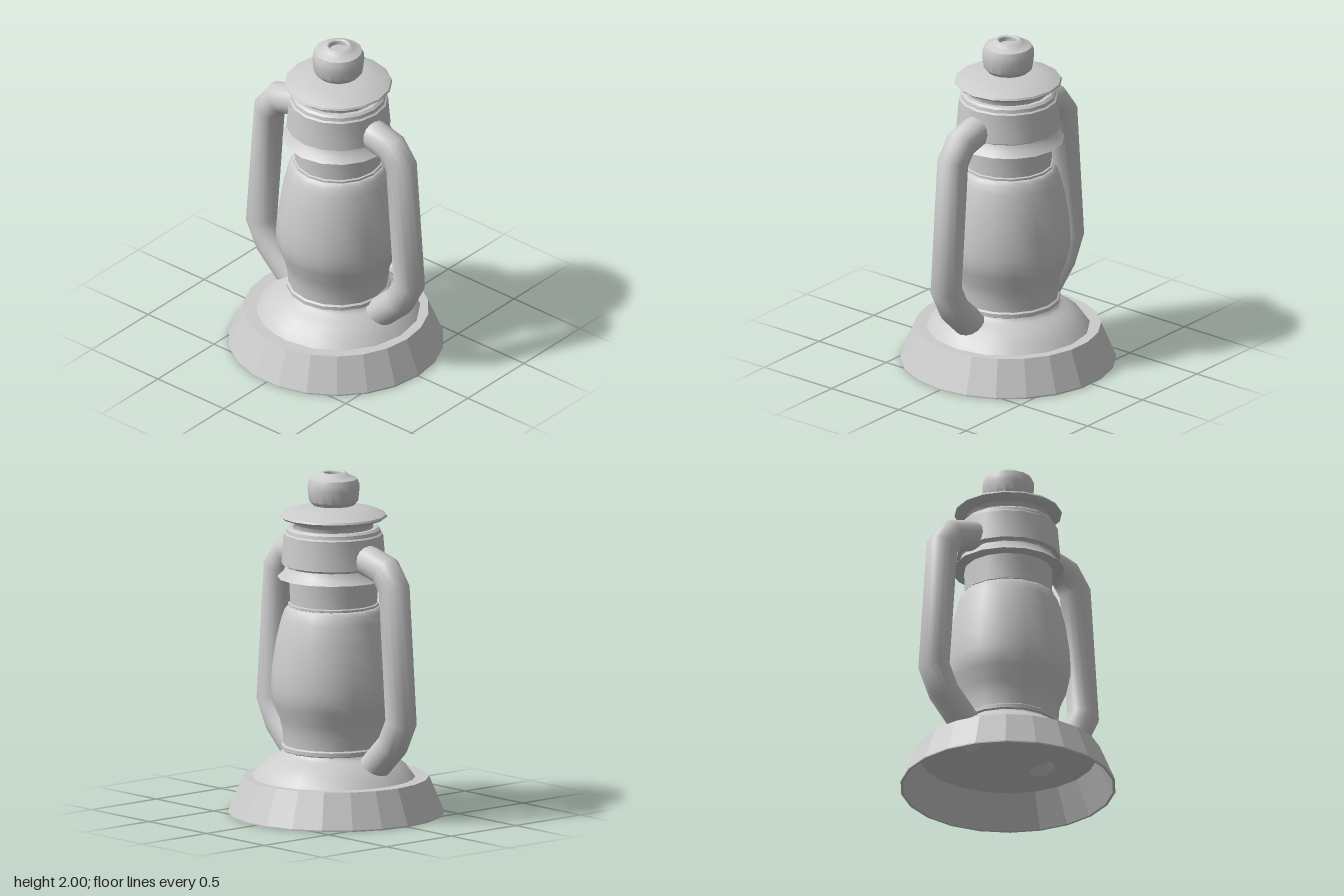
import * as THREE from 'three';
import { toCreasedNormals } from 'three/addons/utils/BufferGeometryUtils.js';

const material = new THREE.MeshStandardMaterial({ color: 0xcccccc, side: THREE.DoubleSide });
const flatMaterial = new THREE.MeshStandardMaterial({ color: 0xcccccc, side: THREE.DoubleSide, flatShading: true });

// Turned part from [radius, height] pairs, listed from bottom to top
function turned(name, profile, sides = 16, mat = material) {
  const lathe = new THREE.LatheGeometry(profile.map(([r, y]) => new THREE.Vector2(r, y)), sides);
  const mesh = new THREE.Mesh(toCreasedNormals(lathe, 0.62), mat);
  mesh.name = name;
  return mesh;
}

// Round pipe with mitred bends along [z, y] points, closed at both ends
function pipe(path, radius, sides) {
  const pts = path.map(([z, y]) => new THREE.Vector2(z, y));
  const last = pts.length - 1;
  const pos = [];
  const index = [];
  pts.forEach((p, i) => {
    const before = pts[Math.max(i, 1)].clone().sub(pts[Math.max(i, 1) - 1]).normalize();
    const next = Math.min(i, last - 1);
    const after = pts[next + 1].clone().sub(pts[next]).normalize();
    const dir = before.clone().add(after).normalize();
    const stretch = radius / dir.dot(after);
    for (let k = 0; k < sides; k++) {
      const a = (k / sides) * Math.PI * 2;
      const s = Math.sin(a) * stretch;
      pos.push(Math.cos(a) * radius, p.y + dir.x * s, p.x - dir.y * s);
      if (i < last) {
        const b = i * sides + k;
        const c = i * sides + ((k + 1) % sides);
        index.push(b, c, b + sides, c, c + sides, b + sides);
      }
    }
  });
  for (let k = 1; k < sides - 1; k++) {
    index.push(0, k + 1, k);
    index.push(last * sides, last * sides + k, last * sides + k + 1);
  }
  const geo = new THREE.BufferGeometry();
  geo.setAttribute('position', new THREE.Float32BufferAttribute(pos, 3));
  geo.setIndex(index);
  return toCreasedNormals(geo, 0.9);
}

export function createModel() {
  const lantern = new THREE.Group();
  lantern.name = 'lantern';

  // Flared foot, hollow underneath up to a flat floor
  lantern.add(turned('base', [
    [0, 0.2], [0.515, 0.2], [0.61, 0], [0.625, 0], [0.625, 0.008], [0.538, 0.215], [0.46, 0.215],
  ], 22, flatMaterial));

  // Upright body, turned about one shared axis
  const body = new THREE.Group();
  body.name = 'body';
  body.position.set(0.01, 0, 0.01);
  body.add(
    turned('tankDome', [
      [0.478, 0.21], [0.44, 0.26], [0.39, 0.302], [0.345, 0.333], [0.31, 0.35], [0.298, 0.36], [0.29, 0.372],
    ]),
    turned('lowerRing', [[0.288, 0.37], [0.302, 0.378], [0.302, 0.4], [0.288, 0.41]]),
    turned('glass', [
      [0.29, 0.4], [0.296, 0.48], [0.312, 0.555], [0.348, 0.64], [0.36, 0.7], [0.362, 0.76], [0.355, 0.865],
      [0.332, 1.02], [0.302, 1.14], [0.285, 1.19], [0.27, 1.212], [0.25, 1.22],
    ]),
    turned('upperRing', [[0.25, 1.215], [0.263, 1.22], [0.263, 1.232], [0.25, 1.237]]),
    turned('neck', [[0.252, 1.22], [0.256, 1.385]]),
    turned('collar', [
      [0.25, 1.38], [0.325, 1.385], [0.29, 1.42], [0.275, 1.45], [0.28, 1.458], [0.302, 1.465],
      [0.287, 1.64], [0.276, 1.648], [0.272, 1.668], [0.258, 1.68], [0.235, 1.68],
    ]),
    turned('ventNeck', [[0.225, 1.67], [0.23, 1.7], [0.25, 1.722]]),
    turned('cap', [
      [0.2, 1.715], [0.255, 1.72], [0.295, 1.73], [0.312, 1.743], [0.306, 1.754],
      [0.26, 1.775], [0.19, 1.793], [0.1, 1.806], [0, 1.806],
    ]),
    turned('knob', [
      [0.09, 1.806], [0.122, 1.81], [0.142, 1.833], [0.15, 1.9], [0.149, 1.935], [0.138, 1.963],
      [0.11, 1.975], [0.09, 1.985], [0.075, 1.998], [0.064, 2], [0.055, 1.994], [0.053, 1.97], [0, 1.97],
    ]),
  );
  lantern.add(body);

  // Bent side pipes running from the collar down through the tank
  const pipeGeometry = pipe([
    [0.2, 1.522], [0.3, 1.51], [0.425, 1.477], [0.5, 1.38], [0.56, 0.605], [0.488, 0.463], [0.337, 0.32], [0.21, 0.215],
  ], 0.09, 16);
  ['frontPipe', 'backPipe'].forEach((name, i) => {
    const mesh = new THREE.Mesh(pipeGeometry, material);
    mesh.name = name;
    mesh.position.x = -0.005;
    mesh.rotation.y = i * Math.PI;
    lantern.add(mesh);
  });

  return lantern;
}
